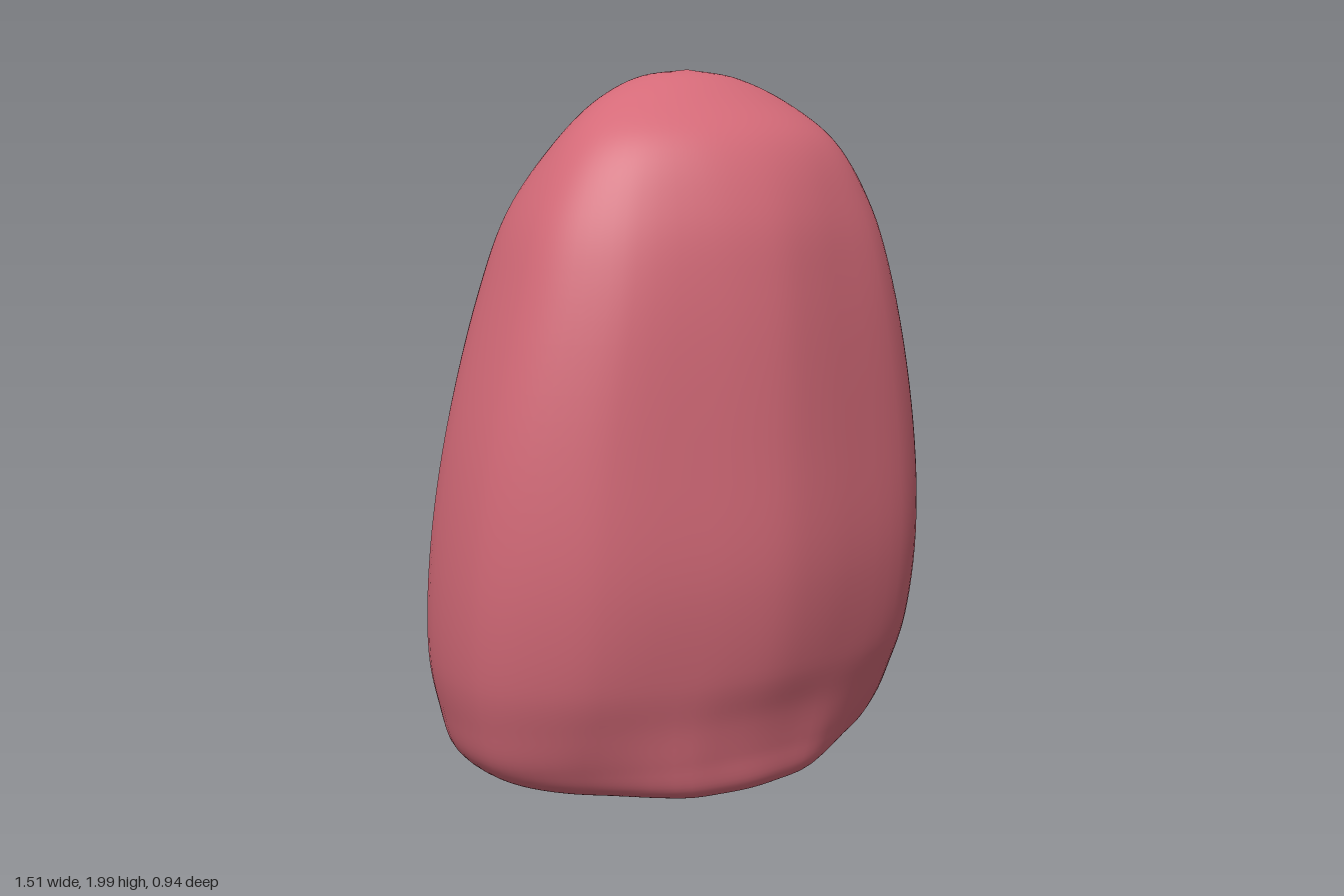
import * as THREE from 'three';

// Cross-sections: [y, half width, front centre z, front shoulder z, back shoulder z, back centre z]
const ROWS = [
  [0.04, 0.38, 0.22, 0.10, -0.20, -0.32], // inner edge of the arched base
  [0.01, 0.54, 0.30, 0.165, -0.255, -0.40],
  [0.04, 0.63, 0.33, 0.20, -0.29, -0.43],
  [0.13, 0.685, 0.348, 0.23, -0.315, -0.44],
  [0.24, 0.72, 0.376, 0.27, -0.327, -0.452],
  [0.38, 0.748, 0.425, 0.315, -0.335, -0.47],
  [0.65, 0.755, 0.468, 0.355, -0.31, -0.44],
  [1.0, 0.718, 0.466, 0.36, -0.265, -0.375],
  [1.4, 0.62, 0.45, 0.35, -0.22, -0.287],
  [1.62, 0.545, 0.415, 0.31, -0.205, -0.245],
  [1.8, 0.43, 0.33, 0.24, -0.18, -0.202],
  [1.91, 0.30, 0.2, 0.15, -0.135, -0.155],
  [1.978, 0.15, 0.09, 0.065, -0.085, -0.1],
];
const AROUND = 80, UP = 90;

// One closed ring: softly ridged front and back, rounded flanks, oval near the crown
function ring([y, w, zf, cf, cb, zb]) {
  const { lerp, smoothstep } = THREE.MathUtils;
  const mid = (cf + cb) * 0.5;
  const lip = lerp(0.2, 0.4, smoothstep(y, 0.1, 0.4)); // fuller front lip near the base
  const half = [
    [0.17, lerp(zf, cf, lip * 0.3)],
    [0.36, lerp(zf, cf, lip)],
    [0.66, cf],
    [0.81, lerp(cf, mid, 0.22)],
    [0.93, lerp(cf, mid, 0.5)],
    [0.99, lerp(cf, mid, 0.82)],
    [0.985, lerp(cb, mid, 0.5)],
    [0.91, lerp(cb, mid, 0.12)],
    [0.74, cb - 0.03 * w],
    [0.38, lerp(cb, zb, 0.68)],
    [0.17, lerp(cb, zb, 0.92)],
  ];
  // blend towards an oval at the crown
  const oval = smoothstep(y, 1.45, 1.95);
  const centre = (zf + zb) / 2, depth = (zf - zb) / 2;
  half.forEach((p, i) => {
    const a = (Math.PI * (i + 1)) / (half.length + 1);
    p[0] = lerp(p[0], Math.sin(a), oval);
    p[1] = lerp(p[1], centre + depth * Math.cos(a), oval);
  });
  // the base edge lifts towards the sides
  const lift = (u) => (y < 0.1 ? 0.035 * u * u : 0);
  const at = ([u, z], side) => new THREE.Vector3(side * u * w, y + lift(u), z);
  const pts = [
    at([0, zf], 1),
    ...half.map((p) => at(p, 1)),
    at([0, zb], 1),
    ...half.slice().reverse().map((p) => at(p, -1)),
  ];
  const curve = new THREE.CatmullRomCurve3(pts, true);
  return Array.from({ length: AROUND }, (_, i) => curve.getPoint(i / AROUND));
}

function bodyGeometry() {
  const rings = ROWS.map(ring);
  const bottom = new THREE.Vector3(0, 0.085, -0.05);
  const top = new THREE.Vector3(0, 2, -0.01);
  const positions = [], index = [];
  // smooth strip from the arched underside up to the crown, for each column;
  // the opposite column carries the curve evenly over the top
  for (let i = 0; i < AROUND; i++) {
    const column = new THREE.CatmullRomCurve3([bottom, ...rings.map((r) => r[i]), top]);
    for (let j = 1; j < UP; j++) {
      const p = column.getPoint(j / UP);
      positions.push(p.x, Math.max(0, p.y), p.z);
    }
  }
  const n = UP - 1, b = AROUND * n, t = b + 1;
  positions.push(...bottom.toArray(), ...top.toArray());
  for (let i = 0; i < AROUND; i++) {
    const a = i * n, c = ((i + 1) % AROUND) * n;
    index.push(b, c, a, t, a + n - 1, c + n - 1);
    for (let j = 0; j < n - 1; j++) {
      index.push(a + j, c + j, c + j + 1, a + j, c + j + 1, a + j + 1);
    }
  }
  const g = new THREE.BufferGeometry();
  g.setAttribute('position', new THREE.Float32BufferAttribute(positions, 3));
  g.setIndex(index);
  g.computeVertexNormals();
  return g;
}

export function createModel() {
  const group = new THREE.Group();
  const rose = new THREE.MeshStandardMaterial({ color: 0xd46a78 });
  rose.name = 'rose pink';
  const body = new THREE.Mesh(bodyGeometry(), rose);
  body.name = 'body';
  group.add(body);
  return group;
}
